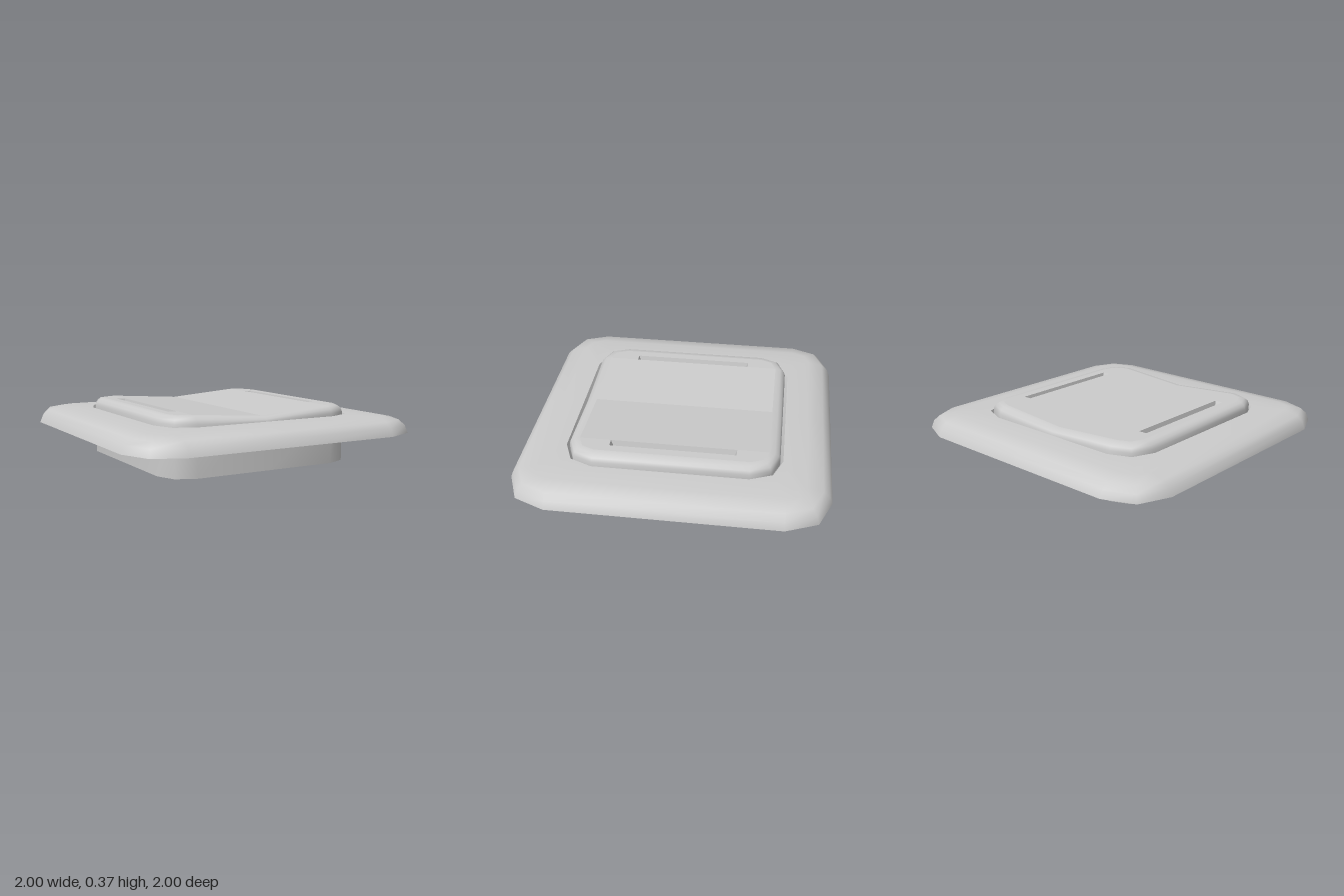
import * as THREE from 'three';
import { toCreasedNormals } from 'three/addons/utils/BufferGeometryUtils.js';

const material = new THREE.MeshStandardMaterial({ color: 0xcccccc, side: THREE.DoubleSide });
const C = 0.49; // corner centre of the button; also where its dished top begins
const TOP = 0.372, SAG = 0.036;

function mesh(name, geometry) {
  const m = new THREE.Mesh(geometry, material);
  m.name = name;
  return m;
}

// Skin closed rings of equal point count, from the lowest/outermost inwards
function loft(rings, crease = 0.9) {
  const n = rings[0].length, index = [];
  for (let i = 0; i < rings.length - 1; i++) {
    for (let j = 0; j < n; j++) {
      const a = i * n + j, b = i * n + (j + 1) % n;
      index.push(a, a + n, b, b, a + n, b + n);
    }
  }
  const g = new THREE.BufferGeometry();
  g.setAttribute('position', new THREE.Float32BufferAttribute(rings.flat(2), 3));
  g.setIndex(index);
  return toCreasedNormals(g, crease);
}

// Square ring with two-facet corners; sag lowers it towards x = 0
function ring(half, y, c = C, sag = 0) {
  const r = half - c, pts = [];
  const add = (x, z) => pts.push([x, y - sag * Math.max(0, 1 - Math.abs(x) / C), z]);
  [[1, 1], [-1, 1], [-1, -1], [1, -1]].forEach(([sx, sz], k) => {
    for (let i = 0; i < 3; i++) {
      const a = (k + i / 2) * Math.PI / 2;
      add(sx * c + r * Math.cos(a), sz * c + r * Math.sin(a));
    }
    if (k % 2 === 0) add(0, sz * half);
  });
  return pts;
}

// Rectangular ring for the slot walls
const rect = (x0, x1, z, y) => [[x1, y, z], [x0, y, z], [x0, y, -z], [x1, y, -z]];

// One half of the button top: sloping panel, flat edge strip and sunken slot
function topHalf() {
  const half = new THREE.Group();
  half.name = 'topHalf';

  const slope = new THREE.PlaneGeometry(C, 1.2).rotateX(-Math.PI / 2).translate(C / 2, TOP, 0);
  const p = slope.attributes.position;
  for (let i = 0; i < p.count; i++) p.setY(i, TOP - SAG * (1 - p.getX(i) / C));
  slope.computeVertexNormals();
  half.add(mesh('slopingPanel', slope));

  const d = 0.49 + 0.11 * Math.SQRT1_2;
  const outline = [
    [C, -0.6], [d, -d], [0.6, -C], [0.6, C], [d, d], [C, 0.6],
    [C, 0.4], [0.545, 0.4], [0.545, -0.4], [C, -0.4],
  ].map(([x, y]) => new THREE.Vector2(x, y));
  const strip = new THREE.ShapeGeometry(new THREE.Shape(outline));
  half.add(mesh('edgeStrip', strip.rotateX(-Math.PI / 2).translate(0, TOP, 0)));

  half.add(mesh('slotWalls', loft([rect(C, 0.545, 0.4, TOP), rect(0.5, 0.535, 0.38, TOP - 0.05)], 0.3)));
  const floor = new THREE.PlaneGeometry(0.035, 0.76).rotateX(-Math.PI / 2);
  half.add(mesh('slotFloor', floor.translate(0.5175, TOP - 0.05, 0)));
  return half;
}

export function createModel() {
  const model = new THREE.Group();
  model.name = 'buttonPlate';

  // Open-backed frame with rounded rim, ending in the groove round the button
  model.add(mesh('frame', loft([
    ring(1, 0.2, 0.72), ring(0.98, 0.25, 0.72), ring(0.94, 0.285, 0.72),
    ring(0.84, 0.305, 0.72), ring(0.69, 0.31), ring(0.672, 0.28),
  ])));

  // Thin skirt below the frame
  model.add(mesh('skirt', loft([ring(0.67, 0), ring(0.67, 0.28)])));

  // Button with rounded edge and a shallow dish across its top
  const button = new THREE.Group();
  button.name = 'button';
  button.add(mesh('buttonEdge', loft([
    ring(0.67, 0.28), ring(0.67, 0.325, C, 0.02), ring(0.66, 0.35, C, 0.03),
    ring(0.635, 0.367, C, SAG), ring(0.6, TOP, C, SAG),
  ])));
  for (const turn of [0, Math.PI]) {
    const half = topHalf();
    half.rotation.y = turn;
    button.add(half);
  }
  model.add(button);
  return model;
}
